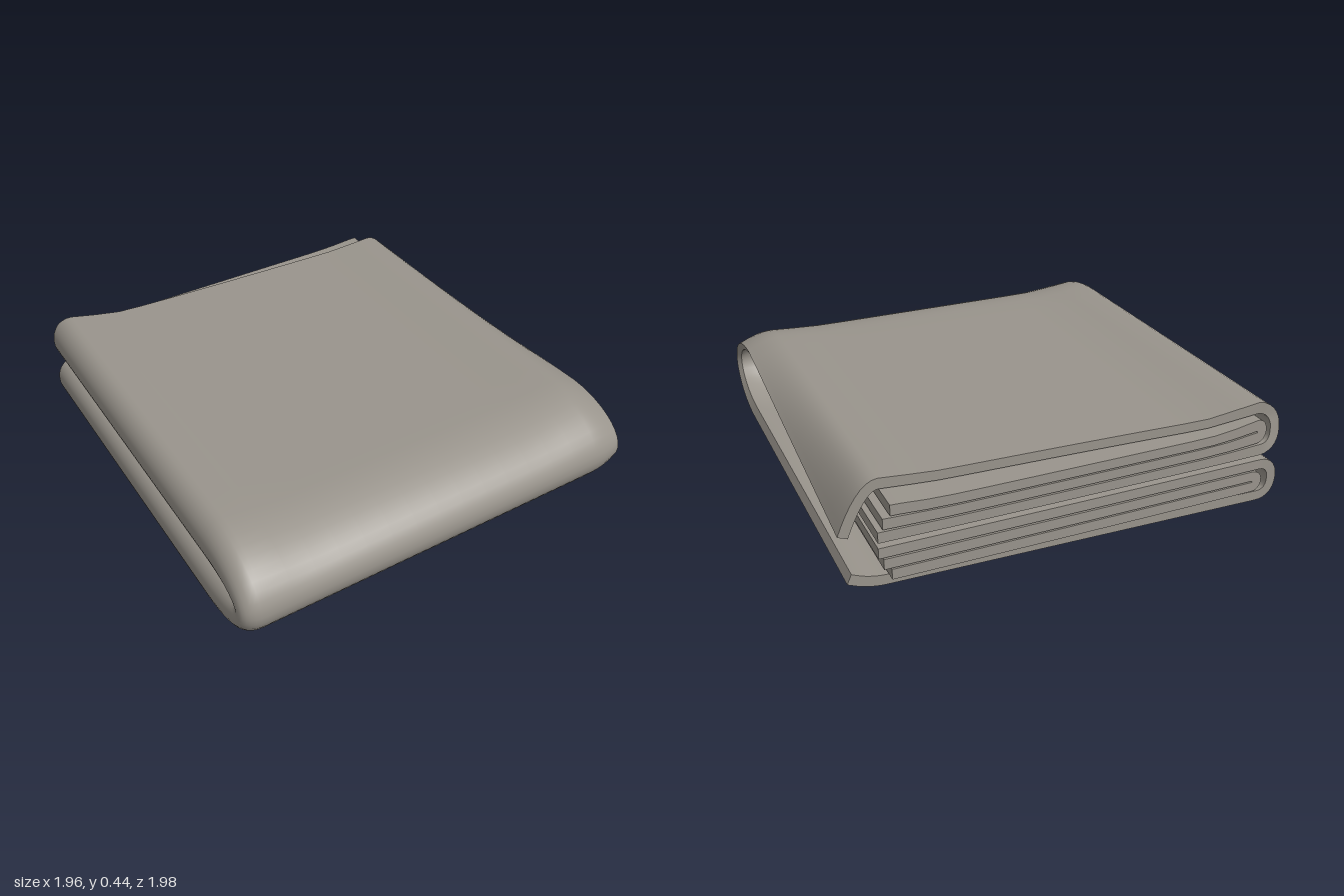
import * as THREE from 'three';
import { toCreasedNormals } from 'three/addons/utils/BufferGeometryUtils.js';

const HALF = 0.022;        // half the cloth thickness
const MID = 0.21;          // height of the middle of the stack
const BEND_Z = 0.64;       // where the front bend starts
const lerp = THREE.MathUtils.lerp;

// Stations along the wrap: bottom run, front bend, top run
const stations = [];
for (let i = 0; i < 8; i++) stations.push({ run: 'bottom', p: 1 - i / 8 });
for (let i = 0; i <= 20; i++) stations.push({ run: 'bend', p: i / 20 });
for (let i = 1; i <= 12; i++) stations.push({ run: 'top', p: i / 12 });

// Place a section point (x, depth from the outside) on the wrap;
// w is 1 on the outermost layer and 0 on the inner ones
function place(st, x, d, w) {
  const ry = MID - d, rz = 0.35 - 0.7 * d;
  let y, z;
  if (st.run === 'bend') {
    const a = (st.p - 0.5) * Math.PI;
    z = BEND_Z + rz * Math.cos(a);
    y = MID + ry * Math.sin(a);
  } else {
    const u = THREE.MathUtils.clamp((x + 0.9) / 1.83, 0, 1);
    const top = st.run === 'top';
    const outer = top ? -0.965 + 0.105 * Math.pow(u, 0.6) : -0.985 + 0.06 * u;
    z = lerp(BEND_Z, lerp(-0.99 + 0.01 * u * u, outer, w), st.p);
    y = top ? MID + ry : MID - ry;
  }
  // Top sags in the middle and swells towards both sides
  const k = Math.max(0, (y - MID) / MID);
  const back = (1 - z) / 2;
  y += k * (-0.012 + (0.03 + 0.012 * back) * Math.exp(-(((x + 0.84) / 0.14) ** 2))
    + 0.017 * Math.exp(-(((x - 0.8) / 0.14) ** 2)));
  return [x - 0.035 * z, y, z];
}

// Hairpin centre line: outer arm, fold on the -x side, inner arm
function hairpin(o, st) {
  const pts = [];
  const droop = !o.droop ? 0 : st.run === 'top' ? 0.035 + 0.16 * st.p ** 1.2 : 0.035;
  const curlFrom = o.end0 - 0.145;
  for (let i = 0; i <= 8; i++) {
    const x = lerp(o.end0, curlFrom, i / 8);
    pts.push([x, o.d0 + droop * ((x - curlFrom) / 0.145) ** 2, 1]);
  }
  for (let i = 1; i < 14; i++) pts.push([lerp(curlFrom, o.foldX, i / 14), o.d0, 1]);
  const r = (o.d1 - o.d0) / 2;
  for (let i = 0; i <= 14; i++) {
    const a = Math.PI * i / 14, c = Math.cos(a), s = Math.sin(a);
    const d = o.d0 + r - r * Math.sign(c) * Math.pow(Math.abs(c), 0.85);
    pts.push([o.foldX - o.foldR * Math.pow(s, 0.85), d, 1 - i / 14]);
  }
  for (let i = 1; i <= 12; i++) pts.push([lerp(o.foldX, o.end1, i / 12), o.d1, 0]);
  if (!o.droop) pts.forEach(p => { p[2] = 0; });
  return pts;
}

// Thicken the hairpin and sweep it along the wrap
function foldedLayer(o) {
  const pos = [], idx = [];
  let n = 0;
  for (const st of stations) {
    const line = hairpin(o, st);
    n = line.length;
    const sides = [[], []];
    line.forEach(([x, d, w], i) => {
      const a = line[Math.max(0, i - 1)], b = line[Math.min(n - 1, i + 1)];
      const tx = b[0] - a[0], td = b[1] - a[1], l = Math.hypot(tx, td);
      const nx = -td / l * HALF, nd = tx / l * HALF;
      sides[0].push(place(st, x - nx, d - nd, w));
      sides[1].push(place(st, x + nx, d + nd, w));
    });
    pos.push(...sides[0].flat(), ...sides[1].reverse().flat());
  }
  const m = 2 * n, last = (stations.length - 1) * m;
  for (let j = 0; j < stations.length - 1; j++) {
    for (let i = 0; i < m; i++) {
      const a = j * m + i, b = j * m + (i + 1) % m;
      idx.push(a, b, b + m, a, b + m, a + m);
    }
  }
  // Raw cloth edges at the back
  for (let i = 0; i < n - 1; i++) {
    const r0 = i, r1 = i + 1, l0 = m - 1 - i, l1 = m - 2 - i;
    idx.push(r0, l1, r1, r0, l0, l1);
    idx.push(last + r0, last + r1, last + l1, last + r0, last + l1, last + l0);
  }
  const g = new THREE.BufferGeometry();
  g.setAttribute('position', new THREE.Float32BufferAttribute(pos, 3));
  g.setIndex(idx);
  return toCreasedNormals(g, 0.8);
}

export function createModel() {
  const group = new THREE.Group();
  group.name = 'foldedBlanket';
  const cloth = new THREE.MeshStandardMaterial({ color: 0x99948c });
  cloth.name = 'warmGreyCloth';

  const layers = {
    outerFold: { d0: 0.025, d1: 0.177, foldX: -0.84, foldR: 0.072, end0: 0.94, end1: 0.84, droop: true },
    innerFold: { d0: 0.076, d1: 0.126, foldX: -0.81, foldR: 0.027, end0: 0.79, end1: 0.82, droop: false },
  };
  for (const [name, o] of Object.entries(layers)) {
    const mesh = new THREE.Mesh(foldedLayer(o), cloth);
    mesh.name = name;
    group.add(mesh);
  }
  return group;
}
